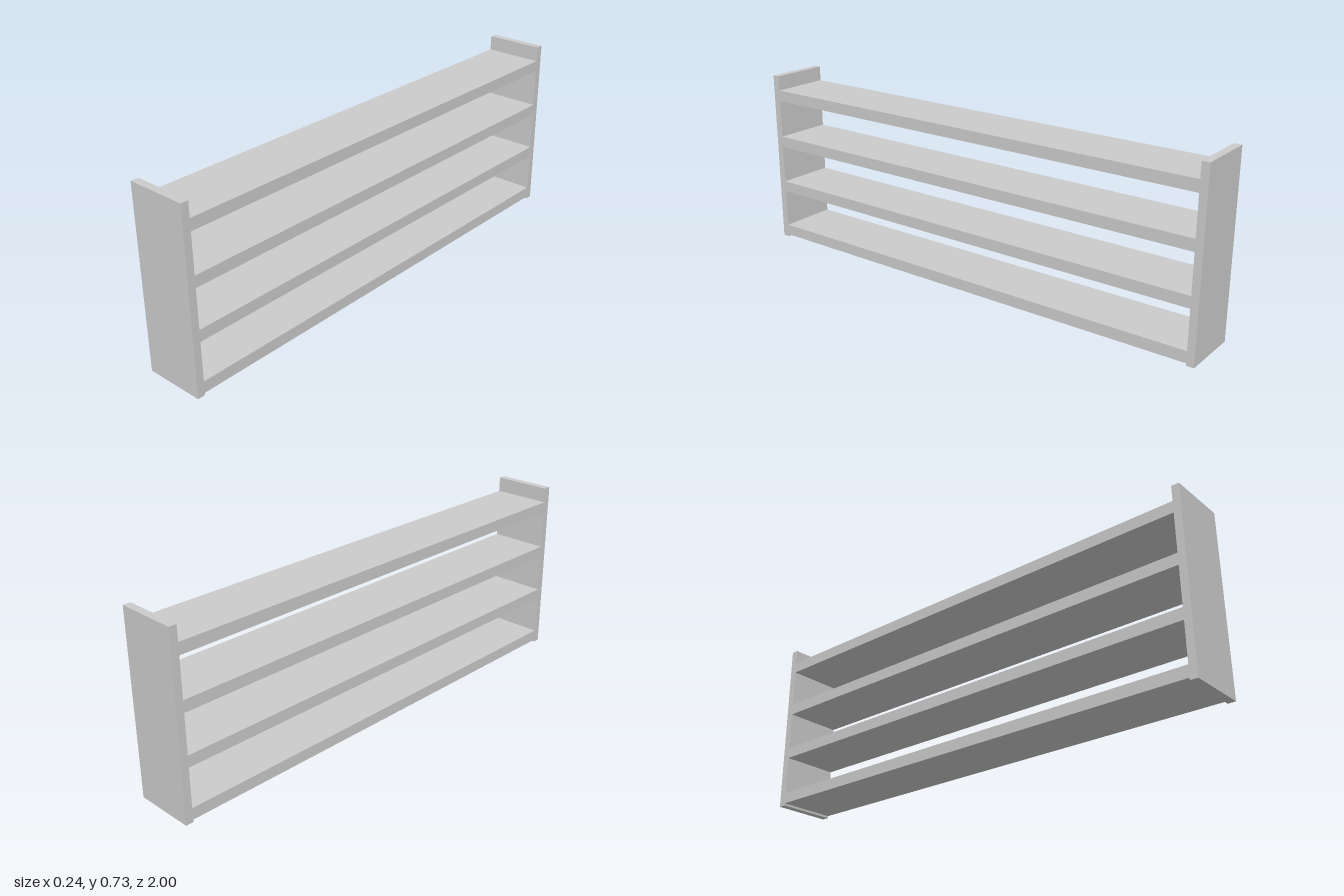
import * as THREE from 'three';

const WIDTH = 0.242, HEIGHT = 0.725, LENGTH = 2;
const PANEL = 0.03, SHELF = 0.046;

export function createModel() {
  const group = new THREE.Group();
  group.name = 'shelfUnit';
  const material = new THREE.MeshStandardMaterial({ color: 0xcccccc, flatShading: true });

  const board = (name, h, d, y, z) => {
    const mesh = new THREE.Mesh(new THREE.BoxGeometry(WIDTH, h, d), material);
    mesh.name = name;
    mesh.position.set(0, y, z);
    group.add(mesh);
  };

  // Upright end panels
  board('frontEndPanel', HEIGHT, PANEL, HEIGHT / 2, (LENGTH - PANEL) / 2);
  board('backEndPanel', HEIGHT, PANEL, HEIGHT / 2, -(LENGTH - PANEL) / 2);

  // Four evenly spaced shelves spanning between the panels, open on both long sides
  for (let i = 0; i < 4; i++) {
    board(`shelf${i + 1}`, SHELF, LENGTH - 2 * PANEL, 0.032 + i * 0.203, 0);
  }
  return group;
}
